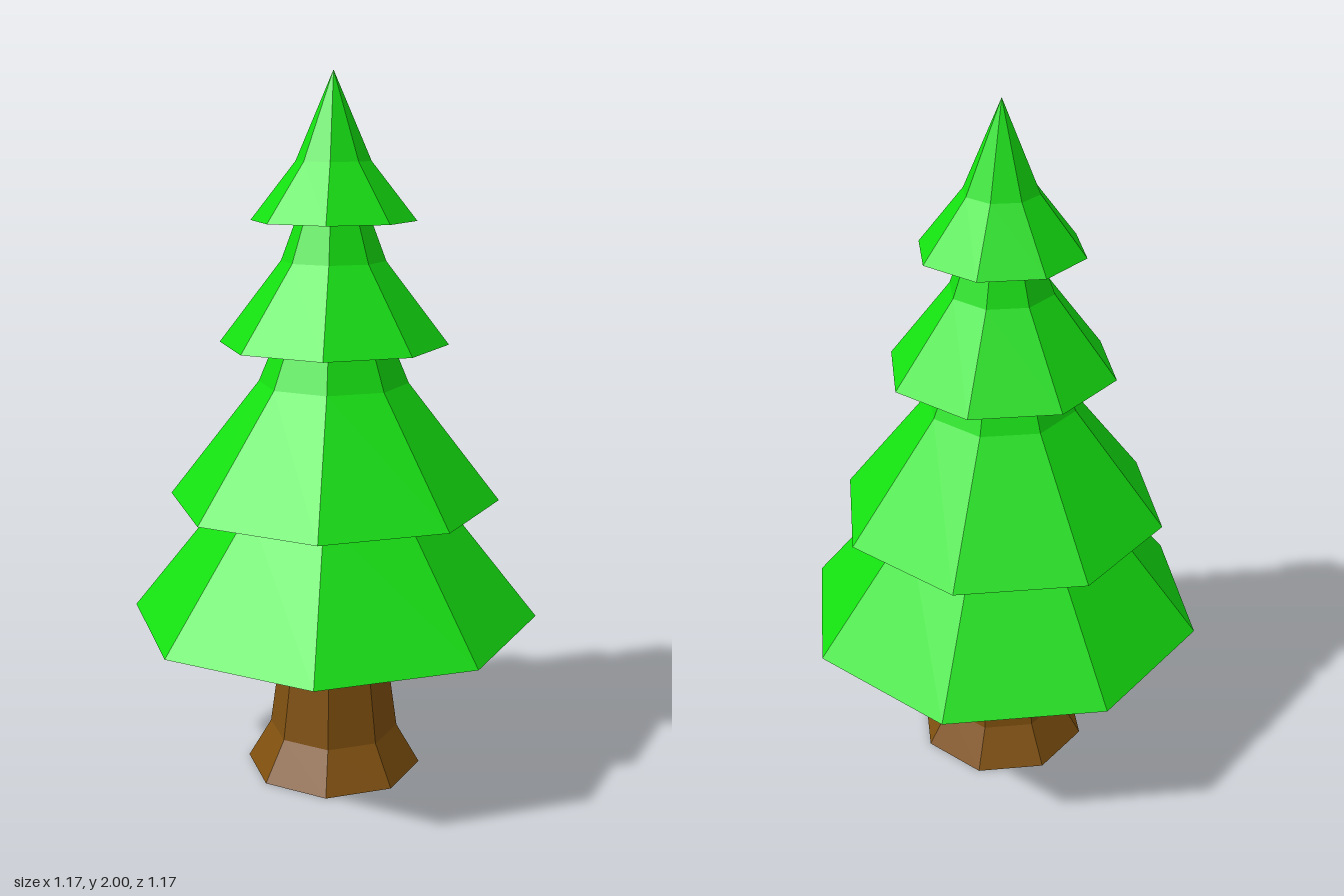
import * as THREE from 'three';

const SIDES = 8;
const leaf = new THREE.MeshStandardMaterial({ color: 0x14e010, flatShading: true });
const bark = new THREE.MeshStandardMaterial({ color: 0x7f500f, flatShading: true });

// Eight-sided solid turned from [radius, height] pairs, listed bottom to top
function turned(name, profile, material) {
  const points = profile.map(([r, y]) => new THREE.Vector2(r, y));
  const mesh = new THREE.Mesh(new THREE.LatheGeometry(points, SIDES), material);
  mesh.name = name;
  return mesh;
}

export function createModel() {
  const tree = new THREE.Group();
  tree.name = 'pineTree';

  // Trunk with flared foot, running up into the lowest tier
  tree.add(turned('trunk', [[0, 0], [0.255, 0], [0.188, 0.115], [0.138, 0.48], [0, 0.48]], bark));

  // Foliage tiers: flat underside, wide skirt, steeper cap
  const tiers = [
    { base: 0.47, radius: 0.587, kneeY: 0.83, kneeR: 0.3, tip: 1.3 },
    { base: 0.815, radius: 0.472, kneeY: 1.15, kneeR: 0.212, tip: 1.66 },
    { base: 1.26, radius: 0.322, kneeY: 1.49, kneeR: 0.146, tip: 1.88 },
    { base: 1.6, radius: 0.23, kneeY: 1.76, kneeR: 0.104, tip: 2 },
  ];
  tiers.forEach(({ base, radius, kneeY, kneeR, tip }, i) => {
    tree.add(turned(`foliageTier${i + 1}`, [[0, base], [radius, base], [kneeR, kneeY], [0, tip]], leaf));
  });

  return tree;
}
